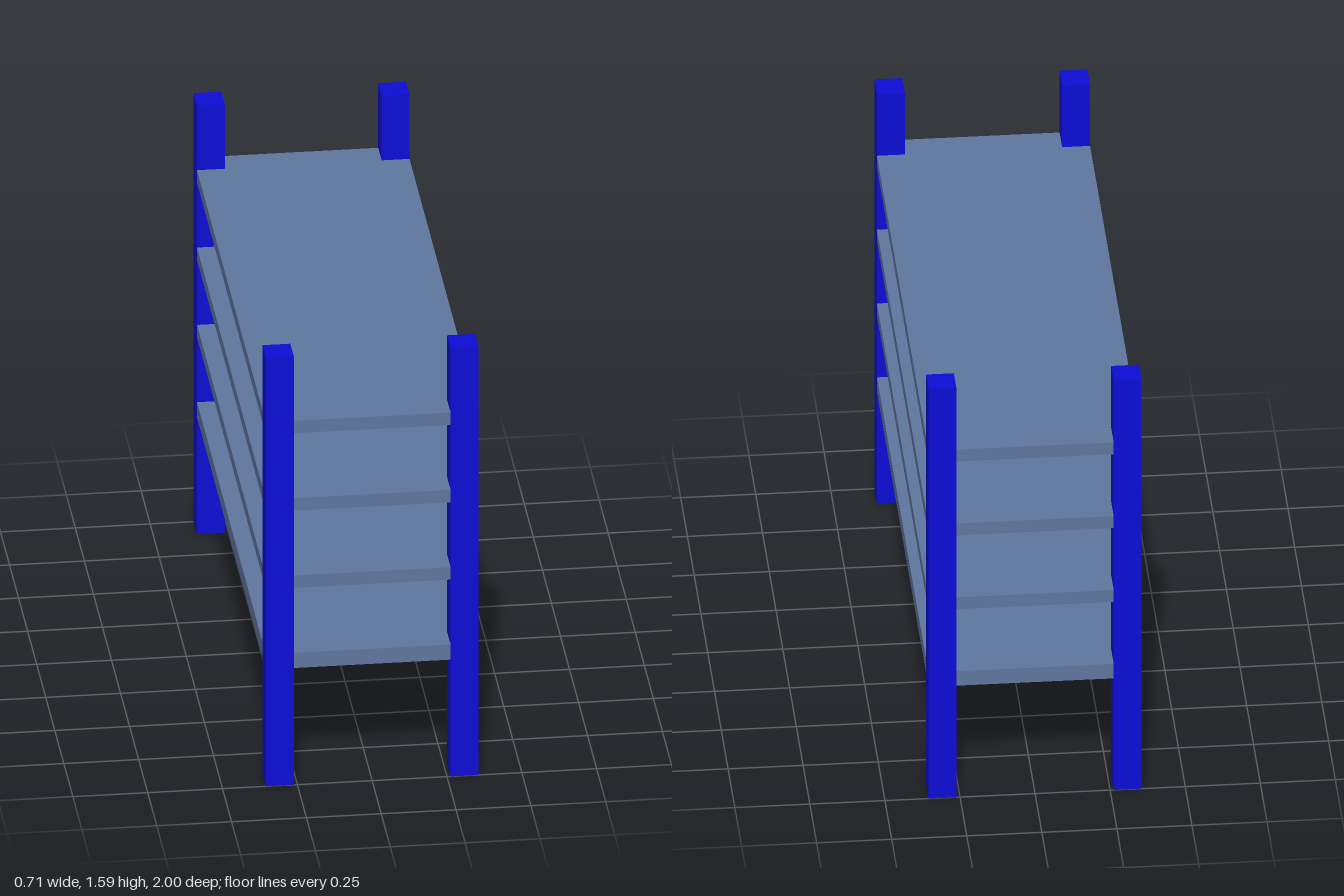
import * as THREE from 'three';

const X = 0.355, Z = 1, POST_X = 0.093, POST_Z = 0.095, HEIGHT = 1.585;

// Shelf plan with the four corners notched out around the posts
function shelfShape() {
  const ix = X - POST_X, iz = Z - POST_Z;
  const quarter = [[X, iz], [ix, iz], [ix, Z]];
  const mirror = (sx, sz) => quarter.map(([x, z]) => new THREE.Vector2(x * sx, z * sz));
  return new THREE.Shape([
    ...mirror(1, 1), ...mirror(-1, 1).reverse(),
    ...mirror(-1, -1), ...mirror(1, -1).reverse(),
  ]);
}

export function createModel() {
  const model = new THREE.Group();
  model.name = 'shelvingUnit';

  const postBlue = new THREE.MeshStandardMaterial({ color: 0x0d0dd6 });
  postBlue.name = 'postBlue';
  const shelfGrey = new THREE.MeshStandardMaterial({ color: 0x60779f });
  shelfGrey.name = 'shelfGreyBlue';

  // Square corner posts
  const postGeometry = new THREE.BoxGeometry(POST_X, HEIGHT, POST_Z);
  for (const [front, sz] of [['front', 1], ['back', -1]]) {
    for (const [side, sx] of [['Left', 1], ['Right', -1]]) {
      const post = new THREE.Mesh(postGeometry, postBlue);
      post.name = `${front}${side}Post`;
      post.position.set(sx * (X - POST_X / 2), HEIGHT / 2, sz * (Z - POST_Z / 2));
      model.add(post);
    }
  }

  // Shelves, flush with the outside of the posts: [underside, thickness]
  const levels = [[0.432, 0.056], [0.728, 0.046], [1.014, 0.046], [1.3, 0.046]];
  const shape = shelfShape();
  levels.forEach(([y, depth], i) => {
    const geometry = new THREE.ExtrudeGeometry(shape, { depth, bevelEnabled: false });
    geometry.rotateX(-Math.PI / 2);
    const shelf = new THREE.Mesh(geometry, shelfGrey);
    shelf.name = `shelf${i + 1}`;
    shelf.position.y = y;
    model.add(shelf);
  });

  return model;
}
